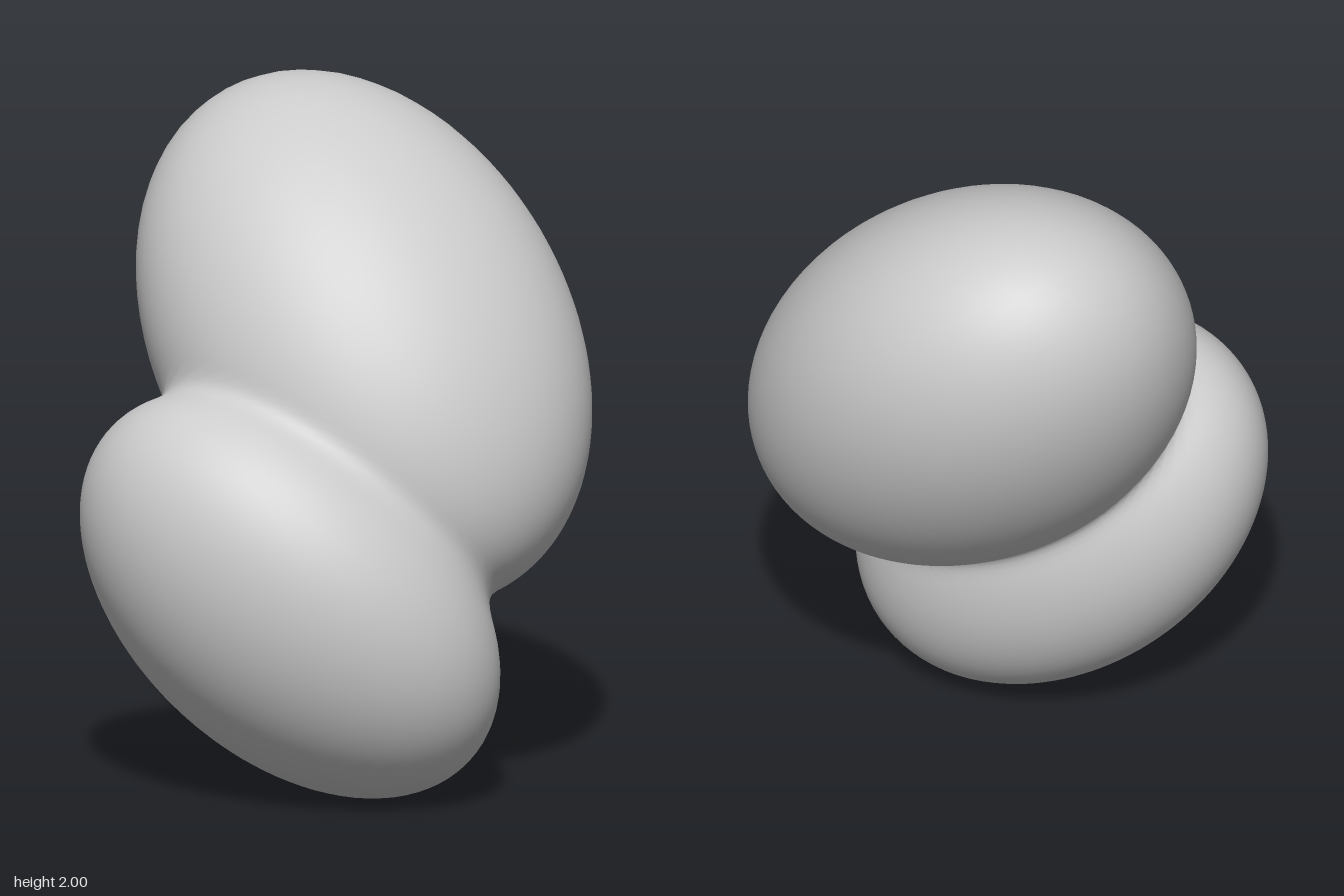
import * as THREE from 'three';
import { mergeVertices } from 'three/addons/utils/BufferGeometryUtils.js';

// Tilted ellipsoid: centre plus a symmetric matrix whose diagonal holds the squared half extents
function ellipsoid(center, xx, yy, zz, xy, xz, yz) {
  const inverse = new THREE.Matrix3().set(xx, xy, xz, xy, yy, yz, xz, yz, zz).invert();
  const d = new THREE.Vector3(), m = new THREE.Vector3();
  return (p) => {
    d.copy(p).sub(center);
    return Math.sqrt(d.dot(m.copy(d).applyMatrix3(inverse))) - 1;
  };
}

const upperLobe = ellipsoid(new THREE.Vector3(0, 1.27, -0.15), 0.476, 0.533, 0.365, -0.19, 0.03, -0.125);
const lowerLobe = ellipsoid(new THREE.Vector3(-0.045, 0.6, 0.3), 0.384, 0.36, 0.207, -0.123, -0.02, 0.055);

// Union of the two lobes with a small fillet in the crease
const FILLET = 0.1;
function field(p) {
  const a = upperLobe(p), b = lowerLobe(p);
  const h = Math.max(FILLET - Math.abs(a - b), 0) / FILLET;
  return Math.min(a, b) - h * h * FILLET * 0.25;
}

// Push every vertex of a sphere out from the shared neck onto the blended surface
function blendedLobes() {
  const core = new THREE.Vector3(0, 0.85, 0.15);
  let geometry = new THREE.IcosahedronGeometry(1, 24);
  geometry.deleteAttribute('normal');
  geometry.deleteAttribute('uv');
  geometry = mergeVertices(geometry, 1e-4);

  const position = geometry.attributes.position;
  const direction = new THREE.Vector3(), p = new THREE.Vector3();
  for (let i = 0; i < position.count; i++) {
    direction.fromBufferAttribute(position, i).normalize();
    let near = 0, far = 2.5;
    for (let step = 0; step < 30; step++) {
      const mid = (near + far) / 2;
      p.copy(core).addScaledVector(direction, mid);
      if (field(p) < 0) near = mid;
      else far = mid;
    }
    position.setXYZ(i, p.x, p.y, p.z);
  }
  geometry.computeVertexNormals();
  return geometry;
}

export function createModel() {
  const group = new THREE.Group();
  group.name = 'twoLobedBlob';
  const body = new THREE.Mesh(
    blendedLobes(),
    new THREE.MeshStandardMaterial({ color: 0xcccccc })
  );
  body.name = 'blendedLobes';
  group.add(body);
  return group;
}
